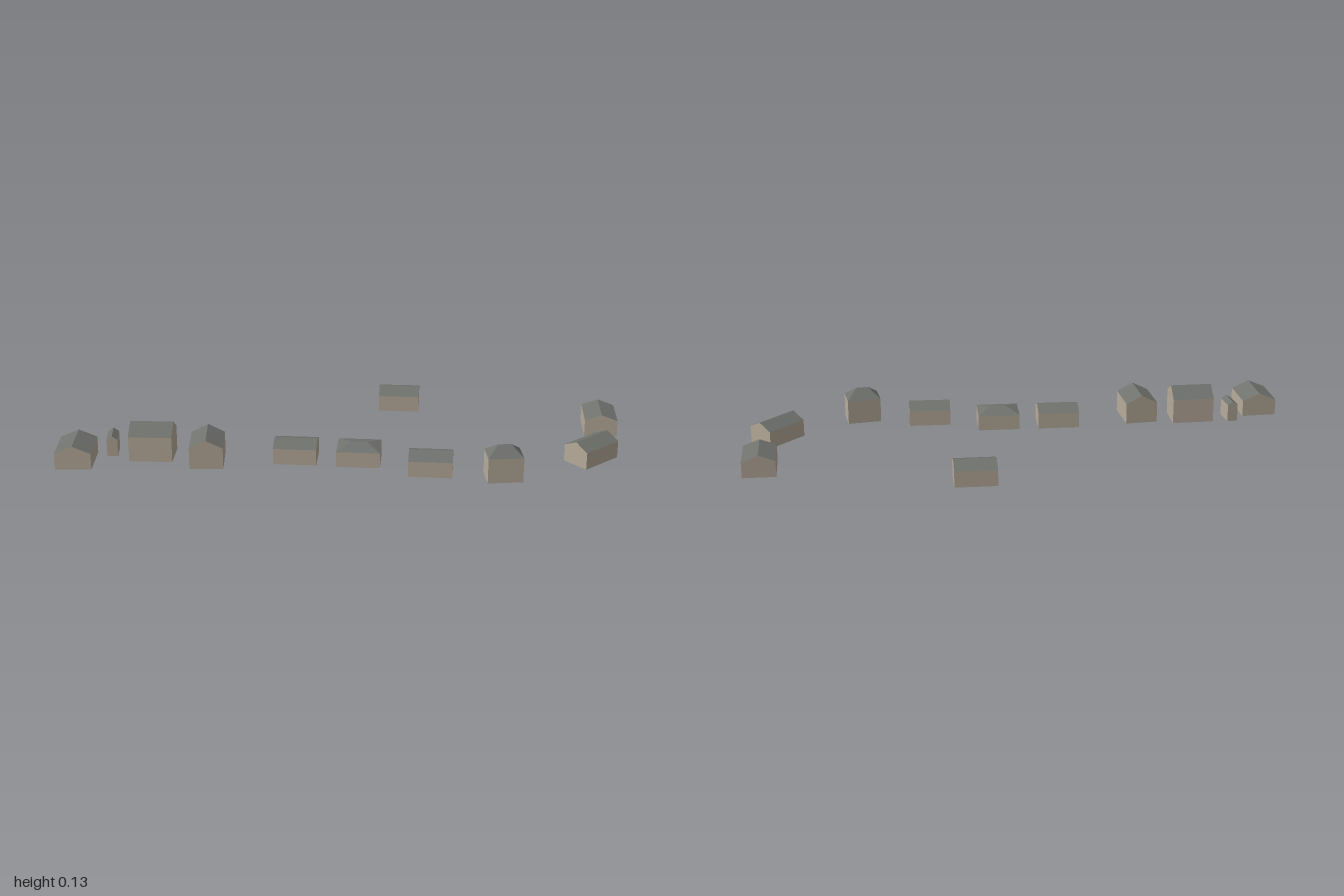
import * as THREE from 'three';

const wallMat = new THREE.MeshStandardMaterial({ color: 0xb8ac9b, side: THREE.DoubleSide });
wallMat.name = 'stone wall';
const roofMat = new THREE.MeshStandardMaterial({ color: 0x70726e, side: THREE.DoubleSide });
roofMat.name = 'slate roof';

// Flat-shaded mesh from polygons, each fanned into triangles
function polyMesh(name, polygons, material) {
  const points = [];
  for (const p of polygons)
    for (let i = 1; i < p.length - 1; i++) points.push(p[0], p[i], p[i + 1]);
  const geometry = new THREE.BufferGeometry().setFromPoints(points);
  geometry.computeVertexNormals();
  const mesh = new THREE.Mesh(geometry, material);
  mesh.name = name;
  return mesh;
}

// House open at the bottom, ridge along local x; ridgeLength < length gives a hipped roof
function house({ name, x, z, length, width, eave, ridge, turn = 0, ridgeLength = length }) {
  const v = (px, py, pz) => new THREE.Vector3(px, py, pz);
  const l = length / 2, w = width / 2, r = ridgeLength / 2;
  const ring = (y) => [v(-l, y, w), v(l, y, w), v(l, y, -w), v(-l, y, -w)];
  const base = ring(0), top = ring(eave);
  const left = v(r, ridge, 0), right = v(-r, ridge, 0);

  const walls = base.map((b, i) => [b, base[(i + 1) % 4], top[(i + 1) % 4], top[i]]);
  const slopes = [[top[0], top[1], left, right], [top[2], top[3], right, left]];
  const ends = [[top[1], top[2], left], [top[3], top[0], right]];
  (ridgeLength < length ? slopes : walls).push(...ends);

  const group = new THREE.Group();
  group.name = name;
  group.add(polyMesh('walls', walls, wallMat), polyMesh('roof', slopes, roofMat));
  group.position.set(x, 0, z);
  group.rotation.y = turn;
  return group;
}

export function createModel() {
  const model = new THREE.Group();
  model.name = 'village';
  const Q = Math.PI / 2; // ridge running front to back
  const houses = [
    // Row along the street, from the model's right to its left
    { name: 'endHouse', x: -0.935, z: 0.235, length: 0.152, width: 0.127, eave: 0.06, ridge: 0.087, turn: Q + 0.02 },
    { name: 'shed', x: -0.818, z: 0.153, length: 0.08, width: 0.038, eave: 0.064, ridge: 0.076, turn: Q + 0.08 },
    { name: 'tallHouse', x: -0.672, z: 0.177, length: 0.153, width: 0.117, eave: 0.092, ridge: 0.13, turn: -0.02 },
    { name: 'gableHouse', x: -0.474, z: 0.216, length: 0.15, width: 0.118, eave: 0.077, ridge: 0.107, turn: Q + 0.05 },
    { name: 'rowHouse1', x: -0.163, z: 0.187, length: 0.152, width: 0.116, eave: 0.058, ridge: 0.078, turn: -0.04 },
    { name: 'lowHippedHouse', x: 0.06, z: 0.2, length: 0.153, width: 0.122, eave: 0.056, ridge: 0.073, turn: -0.04, ridgeLength: 0.055 },
    { name: 'rowHouse2', x: 0.311, z: 0.277, length: 0.153, width: 0.117, eave: 0.057, ridge: 0.079, turn: -0.05 },
    { name: 'tallHippedHouse', x: 0.56, z: 0.325, length: 0.123, width: 0.09, eave: 0.09, ridge: 0.125, turn: 0.11, ridgeLength: 0.045 },
    // Houses at the far end and behind
    { name: 'cornerHouse', x: 0.878, z: 0.159, length: 0.164, width: 0.104, eave: 0.062, ridge: 0.087, turn: 0.74 },
    { name: 'sideHouse', x: 0.938, z: -0.121, length: 0.153, width: 0.118, eave: 0.06, ridge: 0.082, turn: Q - 0.02 },
    { name: 'backHouse', x: 0.201, z: -0.316, length: 0.15, width: 0.12, eave: 0.059, ridge: 0.08, turn: -0.035 },
  ];
  for (const h of houses) model.add(house(h));
  return model;
}
